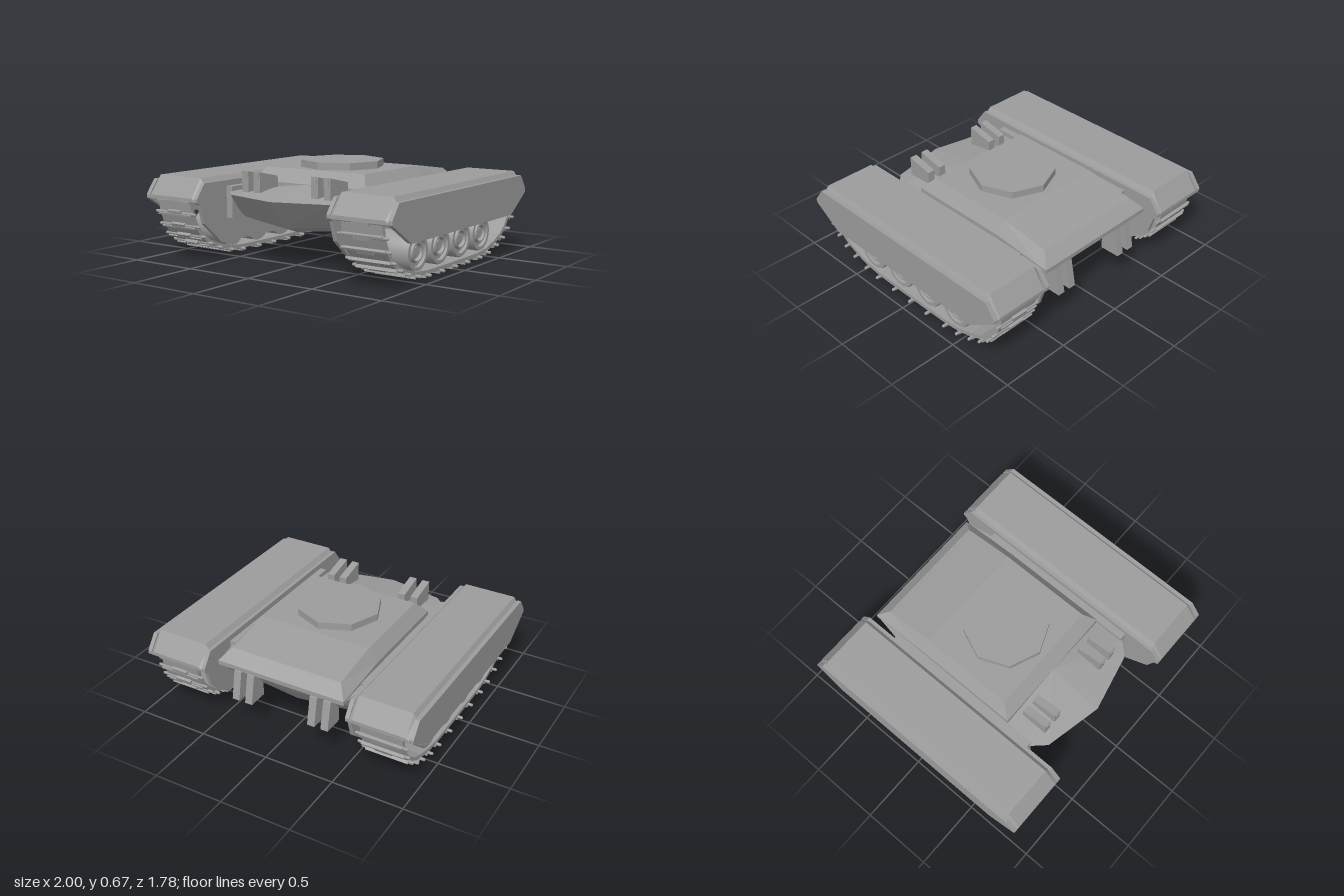
import * as THREE from 'three';
import { toCreasedNormals } from 'three/addons/utils/BufferGeometryUtils.js';

const grey = new THREE.MeshStandardMaterial({ color: 0x9c9c9c });
grey.name = 'plain grey';

function add(parent, name, geometry, x = 0, y = 0, z = 0) {
  const mesh = new THREE.Mesh(geometry, grey);
  mesh.name = name;
  mesh.position.set(x, y, z);
  parent.add(mesh);
  return mesh;
}

// Faceted solid through matching rings of points, closed by a fan at each end
function loft(rings, startCentre, endCentre) {
  const out = [];
  const n = rings[0].length;
  const tri = (...pts) => pts.forEach((p) => out.push(...p));
  for (let j = 0; j < n; j++) {
    const k = (j + 1) % n;
    for (let i = 0; i + 1 < rings.length; i++) {
      const [a, b, c, d] = [rings[i][j], rings[i][k], rings[i + 1][k], rings[i + 1][j]];
      tri(a, b, c);
      tri(a, c, d);
    }
    tri(startCentre, rings[0][k], rings[0][j]);
    tri(endCentre, rings[rings.length - 1][j], rings[rings.length - 1][k]);
  }
  const g = new THREE.BufferGeometry();
  g.setAttribute('position', new THREE.Float32BufferAttribute(out, 3));
  g.computeVertexNormals();
  return g;
}

// Plate with a side profile of [z, y] points, running from x0 to x1
function plate(profile, x0, x1) {
  const shape = new THREE.Shape(profile.map(([z, y]) => new THREE.Vector2(-z, y)));
  const g = new THREE.ExtrudeGeometry(shape, { depth: x1 - x0, bevelEnabled: false });
  return g.rotateY(Math.PI / 2).translate(x0, 0, 0);
}

// Front half of a profile plus its mirror image at the back
const bothEnds = (half) => [...half, ...half.map(([z, y]) => [-z, y]).reverse()];

// Ring from the prow down one side to the tail, then back up the other side
const hullRing = (half) => [
  ...half,
  ...half.slice(1, -1).reverse().map(([x, y, z]) => [-x, y, z]),
];

function createHull() {
  const hull = new THREE.Group();
  hull.name = 'hull';
  const rings = [
    [[0, 0.225, 0.5], [0.38, 0.265, 0.46], [0.505, 0.28, 0.4], [0.505, 0.28, -0.5], [0.47, 0.28, -0.6], [0, 0.225, -0.6]],
    [[0, 0.265, 0.62], [0.4, 0.3, 0.55], [0.505, 0.31, 0.48], [0.505, 0.33, -0.55], [0.475, 0.35, -0.69], [0, 0.33, -0.69]],
    [[0, 0.46, 0.78], [0.41, 0.465, 0.69], [0.505, 0.47, 0.59], [0.505, 0.49, -0.6], [0.475, 0.48, -0.8], [0, 0.48, -0.8]],
  ].map(hullRing);
  add(hull, 'lowerHull', loft(rings, [0, 0.225, 0], [0, 0.53, 0.385]));

  // Sloped deck house, its roof falling towards the back
  const section = (z, rimX, rimY, roofX, roofY) => [
    [-rimX, 0.46, z], [rimX, 0.46, z], [rimX, rimY, z], [roofX, roofY, z], [-roofX, roofY, z], [-rimX, rimY, z],
  ];
  add(hull, 'deckHouse', loft([
    section(-0.81, 0.475, 0.49, 0.475, 0.491),
    section(-0.73, 0.475, 0.495, 0.41, 0.568),
    section(-0.37, 0.475, 0.53, 0.41, 0.62),
    section(0.30, 0.475, 0.53, 0.41, 0.62),
    section(0.385, 0.475, 0.53, 0.475, 0.531),
  ], [0, 0.47, -0.81], [0, 0.48, 0.385]));

  add(hull, 'turretRing', toCreasedNormals(new THREE.CylinderGeometry(0.294, 0.294, 0.07, 8), 0.3), 0, 0.635, -0.03);

  // Wedge brackets in pairs, on the front deck and hanging at the tail
  for (const x of [-0.34, -0.24, 0.24, 0.34]) {
    add(hull, 'frontBracket', plate([[0.62, 0.48], [0.62, 0.623], [0.43, 0.58], [0.43, 0.49]], x - 0.027, x + 0.027));
    add(hull, 'frontBracketEye', new THREE.BoxGeometry(0.032, 0.032, 0.008), x, 0.59, 0.622);
    add(hull, 'rearBracket', plate([[-0.68, 0.23], [-0.825, 0.23], [-0.785, 0.43], [-0.68, 0.45]], x - 0.027, x + 0.027));
    add(hull, 'rearBracketEye', new THREE.BoxGeometry(0.032, 0.008, 0.032), x, 0.229, -0.79);
  }
  for (const s of [-1, 1]) {
    add(hull, 'sideConnector', new THREE.BoxGeometry(0.06, 0.22, 1.19), s * 0.51, 0.395, 0);
  }
  return hull;
}

function createTrack() {
  const track = new THREE.Group();
  track.name = 'track';
  const joints = bothEnds([
    [0.865, 0.42], [0.85, 0.33], [0.815, 0.24], [0.76, 0.165], [0.685, 0.11],
    [0.59, 0.07], [0.47, 0.036], [0.345, 0.022], [0.17, 0.02], [0, 0.02],
  ]).filter(([z], i) => z !== 0 || i === 9);
  joints.forEach(([z, y], i) => {
    const [z0, y0] = joints[Math.max(i - 1, 0)];
    const [z1, y1] = joints[Math.min(i + 1, joints.length - 1)];
    // Cleat across the joint, turned to follow the belt
    const cleat = new THREE.Group();
    cleat.name = 'cleat';
    cleat.position.set(0.765, y, z);
    cleat.rotation.x = Math.atan2(y1 - y0, z0 - z1);
    add(cleat, 'pin', new THREE.CapsuleGeometry(0.011, 0.35, 3, 8).rotateZ(Math.PI / 2));
    add(cleat, 'grouser', new THREE.BoxGeometry(0.3, 0.032, 0.014), 0, -0.004, 0.008);
    add(cleat, 'centreGrouser', new THREE.BoxGeometry(0.12, 0.03, 0.026), 0, -0.003, -0.008);
    track.add(cleat);
    // Flat link to the next joint
    if (i + 1 < joints.length) {
      const link = new THREE.Group();
      link.name = 'link';
      link.position.set(0.765, (y + y1) / 2, (z + z1) / 2);
      link.rotation.x = Math.atan2(y1 - y, z - z1);
      const length = Math.hypot(y1 - y, z1 - z) + 0.004;
      add(link, 'linkPlate', new THREE.BoxGeometry(0.295, 0.028, length), 0, 0.014, 0);
      track.add(link);
    }
  });
  return track;
}

function createSide() {
  const side = new THREE.Group();
  side.name = 'trackUnit';

  // Chamfered fender with sloped ends
  const section = (z, low, high) => [
    [0.555, 0.42, z], [0.97, 0.42, z], [0.97, low, z], [0.95, high, z], [0.58, high, z], [0.555, low, z],
  ];
  add(side, 'fender', loft([
    section(-0.89, 0.43, 0.445), section(-0.8, 0.545, 0.575),
    section(0.8, 0.545, 0.575), section(0.89, 0.43, 0.445),
  ], [0.765, 0.43, -0.89], [0.765, 0.43, 0.89]));

  const top = [[0.815, 0.545], [0.89, 0.445], [0.89, 0.42]];
  add(side, 'outerSkirt', plate(bothEnds([...top, [0.67, 0.28]]), 0.97, 1));
  add(side, 'innerSkirt', plate(bothEnds([...top, [0.86, 0.4], [0.82, 0.27], [0.65, 0.12]]), 0.53, 0.558));

  // Road wheels with stepped hubs
  const profile = [
    [0, -0.13], [0.125, -0.13], [0.125, 0.12], [0.12, 0.13], [0.097, 0.13], [0.095, 0.105], [0.07, 0.105],
    [0.067, 0.13], [0.055, 0.13], [0.052, 0.1], [0.037, 0.1], [0.034, 0.12], [0, 0.12],
  ].map(([r, y]) => new THREE.Vector2(r, y));
  const wheel = toCreasedNormals(new THREE.LatheGeometry(profile, 32), 0.6).rotateZ(-Math.PI / 2);
  for (let i = 0; i < 4; i++) {
    add(side, 'roadWheel', wheel, 0.765, 0.177, 0.42 - i * 0.28);
    const axle = new THREE.CylinderGeometry(0.03, 0.03, 0.12, 16).rotateZ(Math.PI / 2);
    add(side, 'axle', axle, 0.6, 0.177, 0.42 - i * 0.28);
  }
  side.add(createTrack());
  return side;
}

export function createModel() {
  const model = new THREE.Group();
  model.name = 'trackedVehicle';
  model.add(createHull());
  // The track unit is the same at both ends, so a half turn gives the other side
  const left = createSide();
  const right = createSide();
  left.name = 'leftTrackUnit';
  right.name = 'rightTrackUnit';
  right.rotation.y = Math.PI;
  model.add(left, right);
  return model;
}
